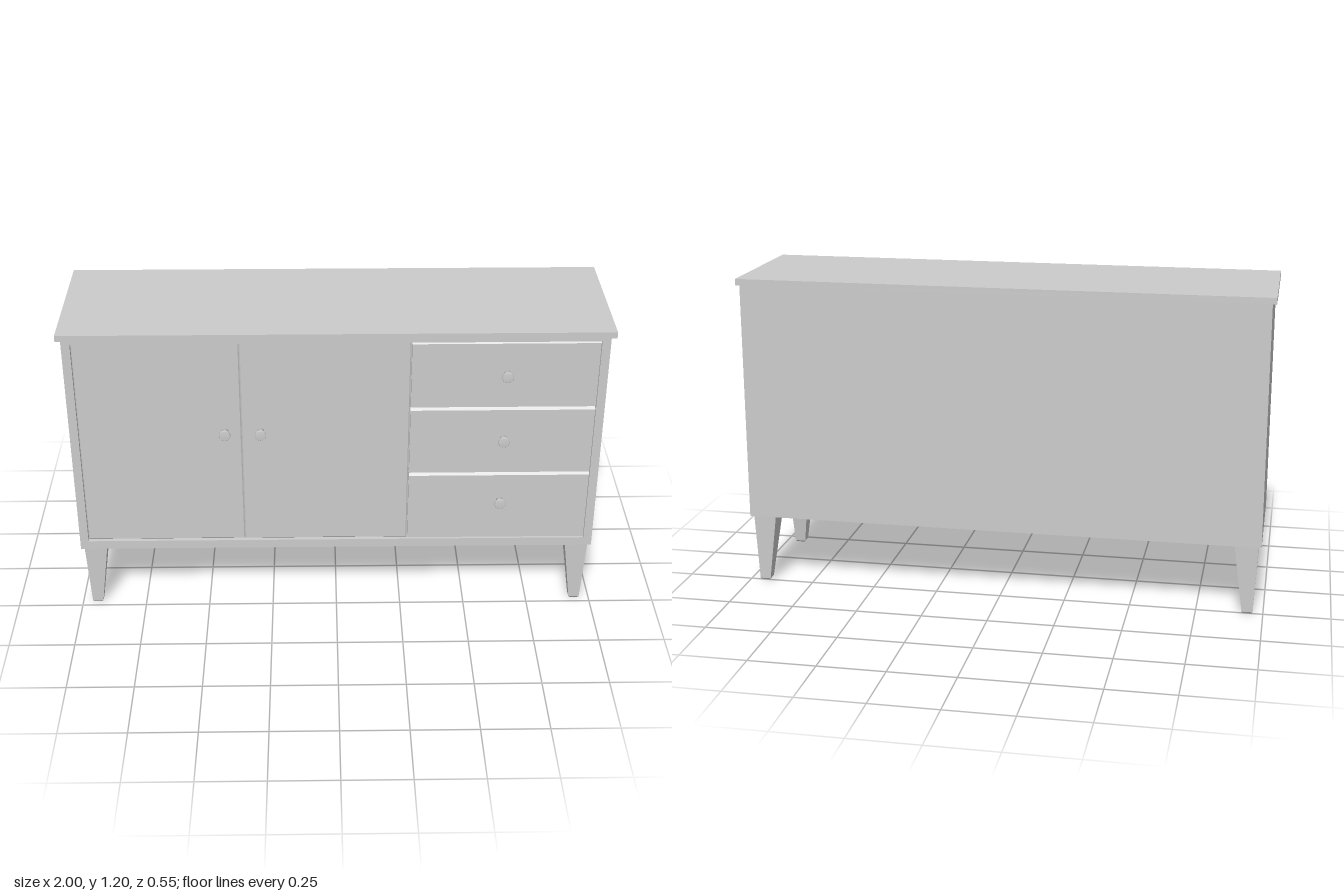
import * as THREE from 'three';

const material = new THREE.MeshStandardMaterial({ color: 0xcccccc });

function add(parent, name, geometry, x = 0, y = 0, z = 0) {
  const mesh = new THREE.Mesh(geometry, material);
  mesh.name = name;
  mesh.position.set(x, y, z);
  parent.add(mesh);
  return mesh;
}

// Box given by its limits on each axis
function addBox(parent, name, x0, x1, y0, y1, z0, z1) {
  return add(parent, name, new THREE.BoxGeometry(x1 - x0, y1 - y0, z1 - z0),
    (x0 + x1) / 2, (y0 + y1) / 2, (z0 + z1) / 2);
}

function rectangle(Type, x0, x1, y0, y1) {
  return new Type([[x0, y0], [x1, y0], [x1, y1], [x0, y1]].map(p => new THREE.Vector2(...p)));
}

// Drawer front: side profile with a bevelled top edge, extruded across its width
function addDrawer(parent, x0, x1, y0, y1, back, front) {
  const bevel = 0.012;
  const profile = new THREE.Shape([
    [-back, y0], [-front, y0], [-front, y1 - bevel], [-front + bevel, y1], [-back, y1],
  ].map(p => new THREE.Vector2(...p)));
  const geometry = new THREE.ExtrudeGeometry(profile, { depth: x1 - x0, bevelEnabled: false });
  geometry.rotateY(Math.PI / 2);
  add(parent, 'drawerFront', geometry, x0);
}

// Door: thin panel with a small chamfer around its front edge
function addDoor(parent, x0, x1, y0, y1, back, front) {
  const c = 0.004;
  const geometry = new THREE.ExtrudeGeometry(
    rectangle(THREE.Shape, x0 + c, x1 - c, y0 + c, y1 - c),
    { depth: front - back - 2 * c, bevelSize: c, bevelThickness: c, bevelSegments: 1 });
  add(parent, 'door', geometry, 0, 0, back + c);
}

// Square leg tapering to a small chamfered foot, leaning outward
function legGeometry() {
  const foot = 0.006;
  // Each section: height, outer x, inner x, outer z, inner z
  const sections = [
    [0, 0.957, 0.926, 0.224, 0.194],
    [foot, 0.962, 0.921, 0.228, 0.189],
    [0.275, 0.974, 0.885, 0.236, 0.148],
  ];
  const positions = [];
  const ring = ([y, xo, xi, zo, zi]) => [[xi, y, zi], [xi, y, zo], [xo, y, zo], [xo, y, zi]];
  const quad = (a, b, c, d) => positions.push(...a, ...b, ...c, ...a, ...c, ...d);
  for (let s = 0; s < 2; s++) {
    const low = ring(sections[s]), high = ring(sections[s + 1]);
    for (let i = 0; i < 4; i++) {
      const j = (i + 1) % 4;
      quad(low[i], low[j], high[j], high[i]);
    }
  }
  const bottom = ring(sections[0]), top = ring(sections[2]);
  quad(bottom[3], bottom[2], bottom[1], bottom[0]);
  quad(...top);
  const geometry = new THREE.BufferGeometry();
  geometry.setAttribute('position', new THREE.Float32BufferAttribute(positions, 3));
  geometry.computeVertexNormals();
  return geometry;
}

// Mirror a non-indexed geometry, keeping faces outward
function mirrored(geometry, sx, sz) {
  const g = geometry.clone().scale(sx, 1, sz);
  if (sx * sz < 0) {
    const p = g.attributes.position;
    for (let i = 0; i < p.count; i += 3) {
      const b = new THREE.Vector3().fromBufferAttribute(p, i + 1);
      const c = new THREE.Vector3().fromBufferAttribute(p, i + 2);
      p.setXYZ(i + 1, c.x, c.y, c.z);
      p.setXYZ(i + 2, b.x, b.y, b.z);
    }
  }
  g.computeVertexNormals();
  return g;
}

// Turned knob with a narrow stem and a flat head
function addKnob(parent, x, y) {
  const points = [
    [0, 0], [0.013, 0], [0.011, 0.026], [0.019, 0.028], [0.021, 0.03],
    [0.021, 0.037], [0.019, 0.039], [0, 0.039],
  ].map(p => new THREE.Vector2(...p));
  const geometry = new THREE.LatheGeometry(points, 20);
  geometry.rotateX(Math.PI / 2);
  add(parent, 'knob', geometry, x, y, 0.236);
}

export function createModel() {
  const group = new THREE.Group();
  group.name = 'sideboard';

  // Cabinet body, framed front opening and top board
  addBox(group, 'cabinetBody', -0.985, 0.985, 0.27, 1.18, -0.274, 0.22);
  const frame = rectangle(THREE.Shape, -0.985, 0.985, 0.27, 1.18);
  frame.holes.push(rectangle(THREE.Path, -0.953, 0.953, 0.305, 1.155));
  add(group, 'frontFrame',
    new THREE.ExtrudeGeometry(frame, { depth: 0.03, bevelEnabled: false }), 0, 0, 0.22);
  addBox(group, 'topBoard', -1, 1, 1.18, 1.204, -0.276, 0.276);

  // Two doors on one side, three drawers on the other
  addDoor(group, -0.953, -0.351, 0.305, 1.155, 0.215, 0.238);
  addDoor(group, -0.351, 0.27, 0.305, 1.155, 0.215, 0.238);
  for (const [y0, y1] of [[0.305, 0.597], [0.599, 0.88], [0.882, 1.155]]) {
    addDrawer(group, 0.273, 0.953, y0, y1, 0.215, 0.24);
  }

  // Knobs
  for (const x of [-0.412, -0.28]) addKnob(group, x, 0.785);
  for (const y of [0.475, 0.748, 1.021]) addKnob(group, 0.62, y);

  // Four legs, the rear pair set slightly further back
  const leg = legGeometry();
  for (const sx of [-1, 1]) {
    add(group, 'frontLeg', mirrored(leg, sx, 1));
    add(group, 'backLeg', mirrored(leg, sx, -1), 0, 0, -0.025);
  }
  return group;
}
